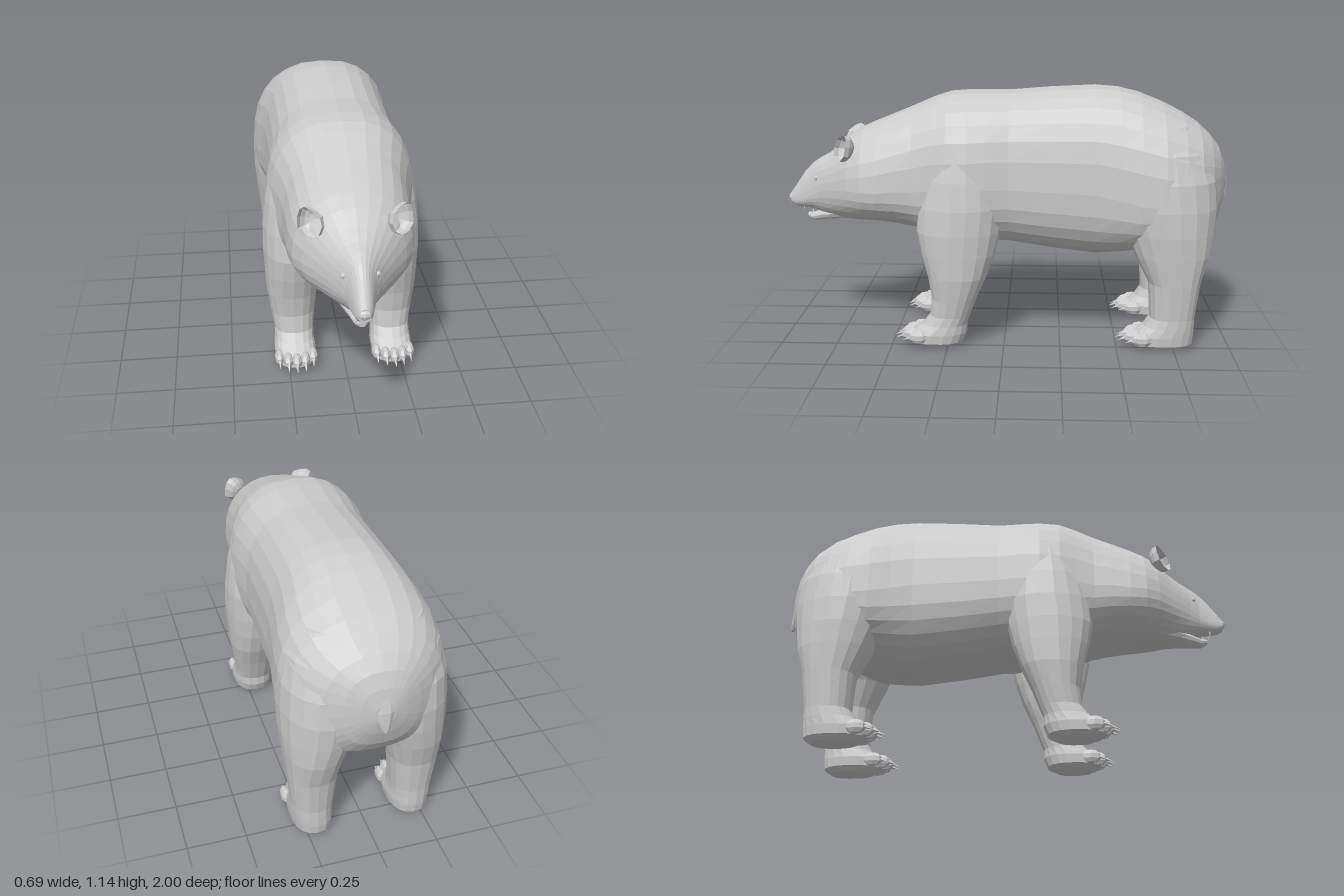
import * as THREE from 'three';

const grey = new THREE.MeshStandardMaterial({ color: 0xcccccc, flatShading: true });
const greyThin = new THREE.MeshStandardMaterial({ color: 0xcccccc, flatShading: true, side: THREE.DoubleSide });

// Skin a list of closed rings, with a fan cap at both ends
function loft(rings) {
  const n = rings[0].length, pos = rings.flat().flatMap(p => p.toArray()), index = [];
  for (let i = 0; i < rings.length - 1; i++) {
    for (let j = 0; j < n; j++) {
      const a = i * n + j, b = i * n + (j + 1) % n;
      index.push(a, b, a + n, b, b + n, a + n);
    }
  }
  [0, rings.length - 1].forEach((r, end) => {
    const centre = pos.length / 3, c = new THREE.Vector3();
    rings[r].forEach(p => c.addScaledVector(p, 1 / n));
    pos.push(c.x, c.y, c.z);
    for (let j = 0; j < n; j++) {
      const a = r * n + j, b = r * n + (j + 1) % n;
      if (end) index.push(a, b, centre); else index.push(b, a, centre);
    }
  });
  const g = new THREE.BufferGeometry();
  g.setAttribute('position', new THREE.Float32BufferAttribute(pos, 3));
  g.setIndex(index);
  g.computeVertexNormals();
  return g;
}

const soft = (v, e) => Math.sign(v) * Math.abs(v) ** e;

// Cross-section across z: square-shouldered trunk, rounder head
function crossRing([z, top, bottom, half, mid], n = 28) {
  const e = 0.79 + 0.16 * THREE.MathUtils.smoothstep(z, 0.3, 0.75);
  return Array.from({ length: n }, (_, j) => {
    const a = j / n * Math.PI * 2, s = soft(Math.sin(a), e);
    return new THREE.Vector3(half * soft(Math.cos(a), e), mid + s * (s > 0 ? top - mid : mid - bottom), z);
  });
}

// Cross-section across y, for the legs
function legRing([y, xIn, xOut, zBack, zFront], side, n = 18) {
  const e = 0.85 + 0.15 * THREE.MathUtils.smoothstep(y, 0.3, 0.6);
  return Array.from({ length: n }, (_, j) => {
    const a = (j + 0.5) / n * Math.PI * 2;
    return new THREE.Vector3(
      side * (xIn + xOut) / 2 + (xOut - xIn) / 2 * soft(Math.cos(a), e), y,
      (zBack + zFront) / 2 - (zFront - zBack) / 2 * soft(Math.sin(a), e));
  });
}

// z, top, bottom, half width, height of widest line
const bodySections = [
  [-0.985, 0.75, 0.67, 0.04, 0.71], [-0.97, 0.82, 0.61, 0.095, 0.71], [-0.945, 0.88, 0.54, 0.155, 0.7],
  [-0.905, 0.93, 0.48, 0.228, 0.68], [-0.85, 0.98, 0.46, 0.292, 0.66], [-0.78, 1.025, 0.45, 0.327, 0.65],
  [-0.69, 1.07, 0.44, 0.343, 0.65], [-0.59, 1.11, 0.41, 0.333, 0.66], [-0.5, 1.132, 0.395, 0.315, 0.68],
  [-0.4, 1.14, 0.385, 0.302, 0.7], [-0.2, 1.13, 0.41, 0.298, 0.71], [-0.02, 1.115, 0.44, 0.297, 0.72],
  [0.08, 1.115, 0.445, 0.313, 0.72], [0.16, 1.115, 0.45, 0.322, 0.71], [0.25, 1.108, 0.46, 0.31, 0.71],
  [0.32, 1.085, 0.475, 0.287, 0.71], [0.4, 1.05, 0.5, 0.268, 0.7], [0.48, 1.017, 0.515, 0.263, 0.7],
  [0.56, 0.985, 0.525, 0.258, 0.69], [0.63, 0.955, 0.525, 0.243, 0.69], [0.69, 0.92, 0.525, 0.208, 0.69],
  [0.75, 0.865, 0.53, 0.157, 0.68], [0.8, 0.828, 0.538, 0.116, 0.67], [0.84, 0.807, 0.55, 0.085, 0.66],
  [0.88, 0.78, 0.567, 0.06, 0.64], [0.92, 0.738, 0.572, 0.047, 0.62], [0.96, 0.68, 0.576, 0.036, 0.61],
  [0.985, 0.645, 0.59, 0.024, 0.61],
];

// y, inner x, outer x, back z, front z
const frontLegSections = [
  [0, 0.16, 0.275, 0.22, 0.38], [0.02, 0.13, 0.305, 0.18, 0.425], [0.06, 0.125, 0.31, 0.165, 0.42],
  [0.1, 0.13, 0.305, 0.165, 0.36], [0.14, 0.13, 0.305, 0.15, 0.33], [0.22, 0.122, 0.318, 0.12, 0.322],
  [0.32, 0.11, 0.334, 0.075, 0.338], [0.42, 0.098, 0.34, 0.04, 0.365], [0.52, 0.085, 0.345, 0.015, 0.385],
  [0.63, 0.08, 0.343, 0.0, 0.38], [0.75, 0.08, 0.329, 0.02, 0.355], [0.88, 0.08, 0.302, 0.06, 0.31],
  [0.99, 0.08, 0.235, 0.1, 0.26],
];
const hindLegSections = [
  [0, 0.155, 0.275, -0.81, -0.62], [0.02, 0.13, 0.3, -0.84, -0.57], [0.06, 0.125, 0.305, -0.845, -0.57],
  [0.1, 0.13, 0.305, -0.845, -0.62], [0.14, 0.13, 0.305, -0.845, -0.645], [0.3, 0.115, 0.322, -0.865, -0.635],
  [0.42, 0.08, 0.335, -0.9, -0.575], [0.52, 0.03, 0.345, -0.918, -0.53], [0.63, 0.01, 0.347, -0.93, -0.49],
  [0.75, 0.02, 0.338, -0.92, -0.48], [0.87, 0.04, 0.31, -0.87, -0.51], [0.98, 0.06, 0.24, -0.8, -0.56],
];

function createModel() {
  const bear = new THREE.Group();
  bear.name = 'bear';
  const add = (name, geometry, parent = bear, material = grey) => {
    const m = new THREE.Mesh(geometry, material);
    m.name = name;
    parent.add(m);
    return m;
  };

  add('bodyAndHead', loft(bodySections.map(s => crossRing(s))));

  // Slightly open lower jaw
  add('lowerJaw', loft([
    [0.7, 0.6, 0.527, 0.1, 0.56], [0.78, 0.58, 0.522, 0.072, 0.555], [0.84, 0.566, 0.515, 0.046, 0.545],
    [0.885, 0.548, 0.511, 0.029, 0.532], [0.912, 0.547, 0.525, 0.015, 0.535],
  ].map(s => crossRing(s, 12))));

  // Nose pad at the tip of the muzzle
  const nose = add('nose', new THREE.SphereGeometry(1, 8, 6));
  nose.scale.set(0.029, 0.022, 0.026);
  nose.position.set(0, 0.62, 0.974);

  // Short tail lying against the rump
  add('tail', loft([
    [0.63, -0.008, 0.008, -1, -0.985], [0.66, -0.025, 0.025, -1, -0.965],
    [0.72, -0.045, 0.045, -0.995, -0.95], [0.8, -0.04, 0.04, -0.975, -0.93],
  ].map(s => legRing(s, 1, 8))));

  // Ear cup, opening along +z and narrowing to a blunt tip
  const earShape = new THREE.SphereGeometry(1, 10, 4, 0, Math.PI * 2, 0, Math.PI * 0.56);
  earShape.rotateX(-Math.PI / 2);
  const earPoints = earShape.attributes.position;
  for (let i = 0; i < earPoints.count; i++) {
    earPoints.setX(i, earPoints.getX(i) * (1 - 0.4 * Math.max(0, earPoints.getY(i))));
  }

  for (const side of [1, -1]) {
    const sideName = side > 0 ? 'left' : 'right';

    const ear = add(sideName + 'Ear', earShape, bear, greyThin);
    ear.scale.set(0.058, 0.066, 0.05);
    ear.position.set(side * 0.178, 0.876, 0.71);
    ear.rotation.set(-0.25, side * 0.6, side * -0.45);

    const eye = add(sideName + 'Eye', new THREE.SphereGeometry(0.011, 8, 6));
    eye.position.set(side * 0.066, 0.72, 0.855);

    // Fangs
    const upper = add(sideName + 'UpperFang', new THREE.ConeGeometry(0.006, 0.026, 5));
    upper.position.set(side * 0.02, 0.568, 0.925);
    upper.rotation.x = Math.PI;
    const lower = add(sideName + 'LowerFang', new THREE.ConeGeometry(0.005, 0.022, 5));
    lower.position.set(side * 0.013, 0.552, 0.893);

    // Legs with five toes and claws each
    for (const [name, sections, toeZ] of [['Front', frontLegSections, 0.415], ['Hind', hindLegSections, -0.57]]) {
      const leg = new THREE.Group();
      leg.name = sideName + name + 'Leg';
      bear.add(leg);
      add('limb', loft(sections.map(s => legRing(s, side))), leg);
      for (let i = -2; i <= 2; i++) {
        const x = side * 0.217 + i * 0.037, z = toeZ - 0.01 * i * i;
        const toe = add('toe', new THREE.SphereGeometry(1, 7, 5), leg);
        toe.scale.set(0.023, 0.033, 0.046);
        toe.position.set(x, 0.05, z);
        const claw = add('claw', new THREE.ConeGeometry(0.012, 0.06, 5), leg);
        claw.position.set(x, 0.045, z + 0.048);
        claw.rotation.x = Math.PI / 2 + 0.35;
      }
    }
  }
  return bear;
}

export { createModel };
